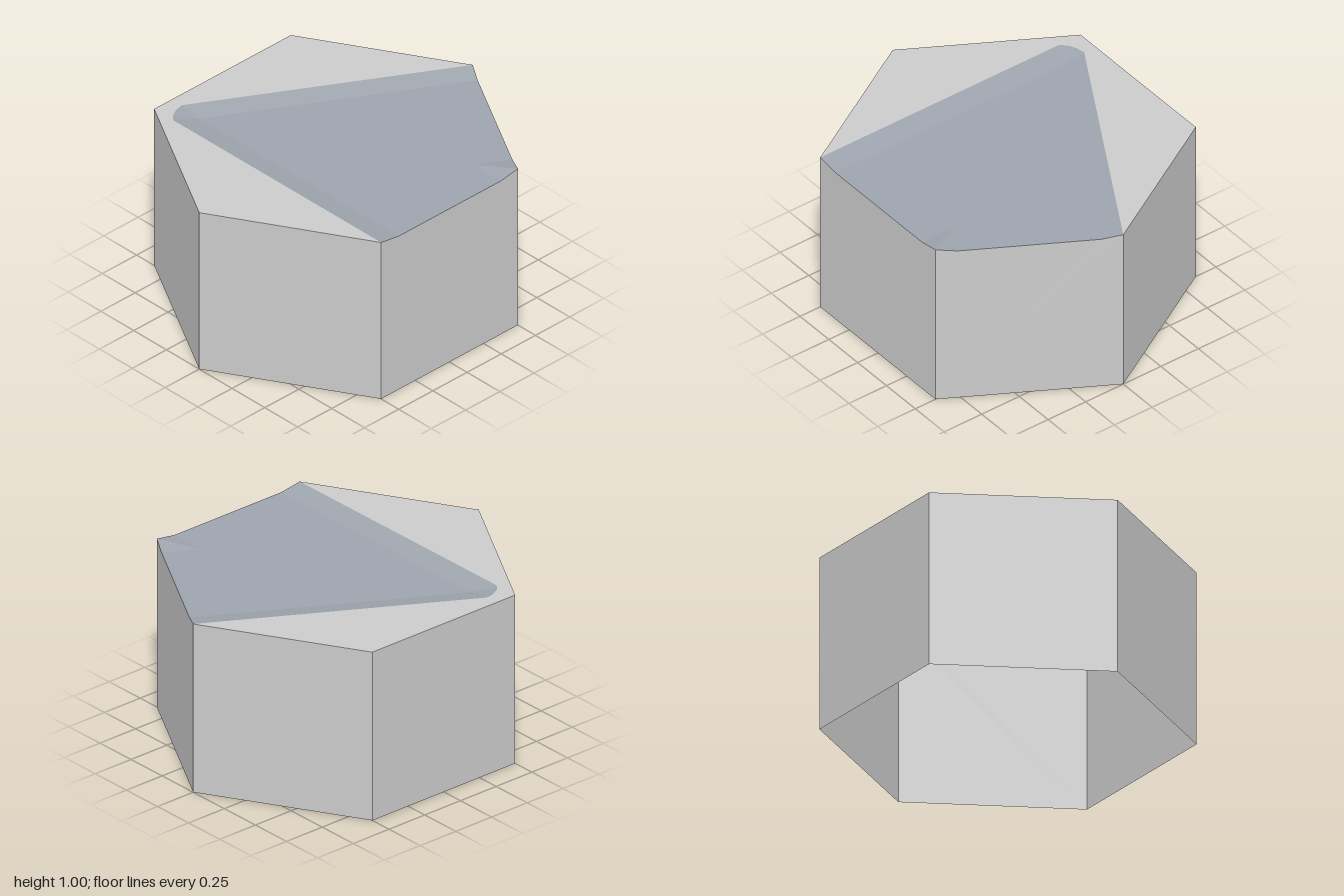
import * as THREE from 'three';

const X = Math.sqrt(3) / 2, TOP = 1, LOW = 0.98;

// Flat facets: each polygon is a list of [x, y, z] corners, split as a fan from its first corner
function facets(name, polygons, material) {
  const p = [];
  for (const c of polygons)
    for (let i = 1; i < c.length - 1; i++) p.push(...c[0], ...c[i], ...c[i + 1]);
  const g = new THREE.BufferGeometry();
  g.setAttribute('position', new THREE.Float32BufferAttribute(p, 3));
  g.computeVertexNormals();
  const mesh = new THREE.Mesh(g, material);
  mesh.name = name;
  return mesh;
}

export function createModel() {
  const stone = new THREE.MeshStandardMaterial({ color: 0xcccccc, side: THREE.DoubleSide });
  stone.name = 'light grey';
  const water = new THREE.MeshStandardMaterial({ color: 0x9ea5ae, side: THREE.DoubleSide });
  water.name = 'blue grey';

  const hi = (x, z) => [x, TOP, z];
  const lo = (x, z) => [x, LOW, z];

  // Hexagon corners, counterclockwise seen from above
  const back = hi(0, -1), backRight = hi(-X, -0.5), frontRight = hi(-X, 0.5);
  const front = hi(0, 1), frontLeft = hi(X, 0.5), backLeft = hi(X, -0.5);
  const corners = [back, backRight, frontRight, front, frontLeft, backLeft];

  // Sunken bed corners and the rounded bank end
  const bedBack = lo(0.1, -0.94), bedFront = lo(-0.656, 0.37);
  const bedSideA = lo(X, 0.37), bedSideB = lo(X, -0.38);
  const bedNotch = lo(0.66, -0.38), bedEdge = lo(0.76, -0.56);
  const bankEnd = [hi(-0.79, 0.37), hi(-0.78, 0.42), hi(-0.755, 0.47), hi(-0.72, 0.5)];

  // Side walls, open underneath; two of them dip where the bed meets the edge
  const dips = { 4: [bedSideB, bedSideA], 5: [bedBack, bedEdge] };
  const walls = corners.map((a, i) => {
    const b = corners[(i + 1) % 6];
    return [[a[0], 0, a[2]], [b[0], 0, b[2]], b, ...(dips[i] || []), a];
  });

  // Raised land around the bed
  const land = [
    [back, backRight, frontRight, bankEnd[0]],
    [front, frontLeft, bankEnd[3], frontRight],
    [frontRight, ...[...bankEnd].reverse()],
  ];

  // Sloping banks, rounded end and the small raised corner
  const banks = [
    [back, bankEnd[0], bedFront, bedBack],
    [bankEnd[3], frontLeft, bedSideA, bedFront],
    [bedFront, ...bankEnd],
    [backLeft, bedNotch, bedSideB],
    [backLeft, bedEdge, bedNotch],
  ];
  const bed = [[bedFront, bedSideA, bedSideB, bedNotch, bedEdge, bedBack]];

  const group = new THREE.Group();
  group.name = 'hexTile';
  group.add(
    facets('walls', walls, stone),
    facets('land', land, stone),
    facets('banks', banks, water),
    facets('bed', bed, water),
  );
  return group;
}
